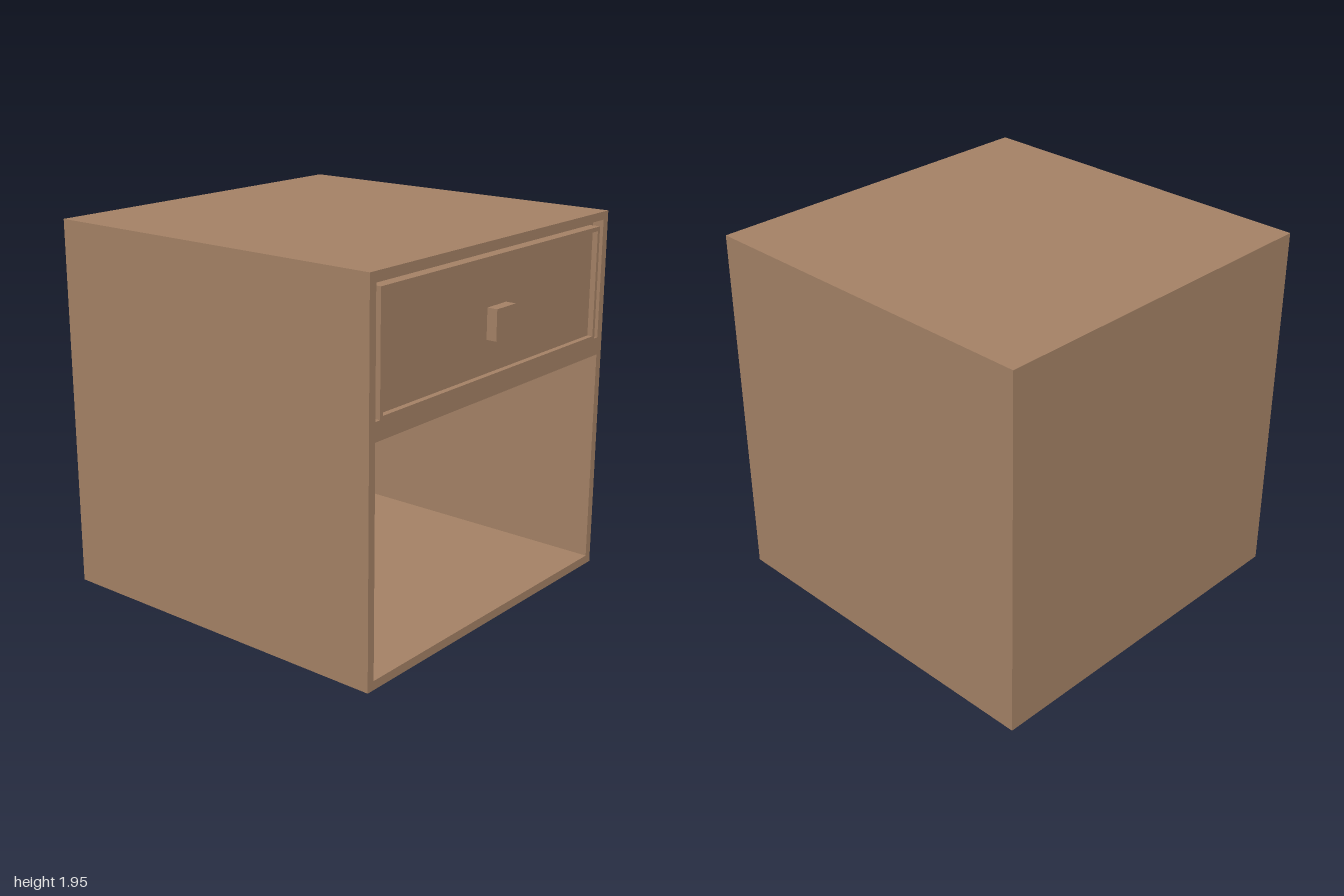
import * as THREE from 'three';

const W = 0.973, H = 1.947, FACE = 0.95; // half width, height, plane of the open face

// Closed counterclockwise outline from [z, y] points
const outline = (points, Type = THREE.Path) =>
  new Type(points.map(([z, y]) => new THREE.Vector2(-z, y)).reverse());
const rect = (w, y0, y1) => [[-w, y0], [w, y0], [w, y1], [-w, y1]];

export function createModel() {
  const group = new THREE.Group();
  group.name = 'nightstand';
  const wood = new THREE.MeshStandardMaterial({ color: 0xa58266 });
  wood.name = 'brown wood';

  // Cabinet openings
  const shelf = rect(0.93, 0.046, 1.191);
  const gap = [
    [-0.93, 1.285], [-0.898, 1.285], [-0.898, 1.875], [0.898, 1.875],
    [0.898, 1.285], [0.93, 1.285], [0.93, 1.905], [-0.93, 1.905],
  ];
  const panel = rect(0.878, 1.3, 1.853);

  // Slice of the cabinet between two x planes, cut by the given openings
  function slice(name, x0, x1, holes) {
    const shape = outline(rect(W, 0, H), THREE.Shape);
    shape.holes = holes.map((h) => outline(h));
    const geometry = new THREE.ExtrudeGeometry(shape, { depth: x1 - x0, bevelEnabled: false });
    geometry.rotateY(Math.PI / 2);
    geometry.translate(x0, 0, 0);
    const mesh = new THREE.Mesh(geometry, wood);
    mesh.name = name;
    group.add(mesh);
  }

  slice('backPanel', -1, -0.95, []);
  slice('cabinetBody', -0.95, FACE - 0.06, [shelf]);
  slice('drawerGap', FACE - 0.06, FACE - 0.03, [shelf, gap]);
  slice('frontFrame', FACE - 0.03, FACE, [shelf, gap, panel]);

  // Square knob in front of the recessed drawer panel
  const knob = new THREE.Mesh(new THREE.BoxGeometry(0.055, 0.155, 0.155), wood);
  knob.name = 'drawerKnob';
  knob.position.set(0.9725, 1.556, 0.016);
  group.add(knob);

  return group;
}
